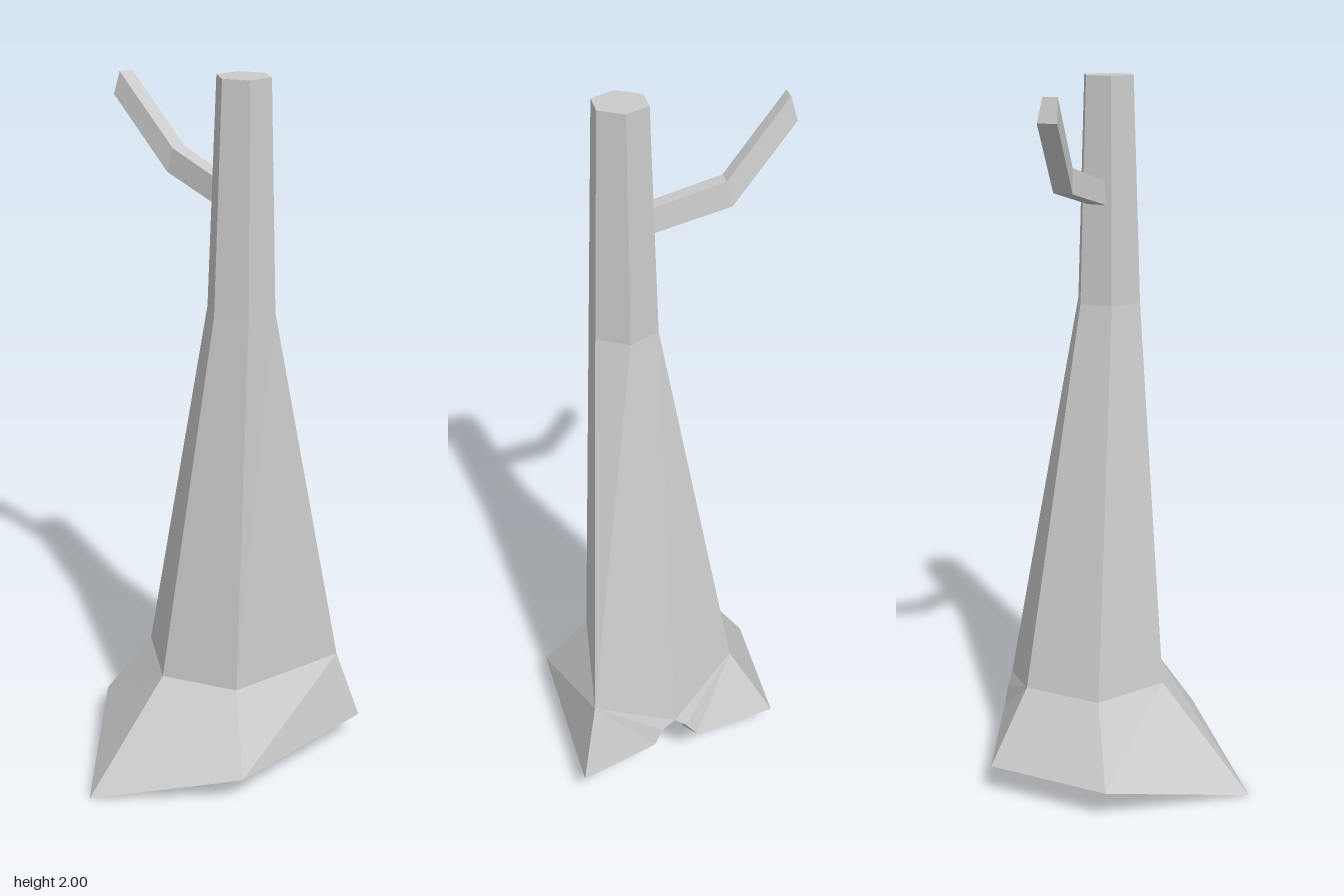
import * as THREE from 'three';

const material = new THREE.MeshStandardMaterial({ color: 0xcccccc, flatShading: true, side: THREE.DoubleSide });

// Mesh from polygons, each a list of [x, y, z] corners, counter-clockwise from outside
function polyMesh(name, polygons) {
  const positions = [];
  for (const p of polygons) {
    for (let i = 1; i < p.length - 1; i++) positions.push(...p[0], ...p[i], ...p[i + 1]);
  }
  const geometry = new THREE.BufferGeometry();
  geometry.setAttribute('position', new THREE.Float32BufferAttribute(positions, 3));
  geometry.computeVertexNormals();
  const mesh = new THREE.Mesh(geometry, material);
  mesh.name = name;
  return mesh;
}

// Side faces between consecutive closed rings
function loft(rings) {
  const faces = [];
  for (let r = 0; r < rings.length - 1; r++) {
    const a = rings[r], b = rings[r + 1], n = a.length;
    for (let i = 0; i < n; i++) {
      const j = (i + 1) % n;
      faces.push([a[i], a[j], b[j], b[i]]);
    }
  }
  return faces;
}

// Regular six-sided ring, first corner to the front
function hexRing(x, y, z, r) {
  return Array.from({ length: 6 }, (_, i) => {
    const a = (i * Math.PI) / 3;
    return [x + r * Math.sin(a), y, z + r * Math.cos(a)];
  });
}

export function createModel() {
  const group = new THREE.Group();
  group.name = 'deadTree';

  // Trunk: corners run front, front left, back left, back, back right, front right
  const flare = [
    [0.02, 0.3, 0.13], [0.215, 0.3, 0.018], [0.255, 0.3, -0.345],
    [0.028, 0.23, -0.372], [-0.175, 0.3, -0.21], [-0.175, 0.3, 0.018],
  ];
  const neck = hexRing(0.105, 1.39, -0.08, 0.095);
  const top = hexRing(0.105, 2, -0.079, 0.073);
  group.add(polyMesh('trunk', [...loft([flare, neck, top]), top]));

  // Roots: open skirt with a small arched hollow at the back
  const tips = [
    [0.02, 0, 0.403], [0.335, 0.095, 0.097], [0.3, 0.085, -0.405],
    null, [-0.295, 0.095, -0.265], [-0.295, 0.095, 0.097],
  ];
  const arch = [
    [0.09, 0.16, -0.388], [0.065, 0.208, -0.38], flare[3],
    [-0.005, 0.2, -0.368], [-0.04, 0.15, -0.362],
  ];
  const skirt = [];
  for (const i of [0, 1, 4, 5]) {
    const j = (i + 1) % 6;
    skirt.push([tips[i], tips[j], flare[j], flare[i]]);
  }
  skirt.push([flare[2], tips[2], arch[0], arch[1], arch[2]]);
  skirt.push([flare[4], arch[2], arch[3], arch[4], tips[4]]);
  group.add(polyMesh('roots', skirt));

  // Hollow: the arch narrows as it runs inward
  const inner = arch.map(([x, y, z]) => [0.012 + x * 0.55, y - 0.012, z + 0.05]);
  const hollow = [];
  for (let i = 0; i < 4; i++) hollow.push([arch[i], inner[i], inner[i + 1], arch[i + 1]]);
  group.add(polyMesh('hollow', hollow));

  // Branch: bent bar, narrower on top; [bottom x, y, top x, y, middle z]
  const sections = [
    [0.05, 1.658, 0.05, 1.723, -0.08],
    [-0.168, 1.715, -0.153, 1.78, -0.08],
    [-0.338, 1.905, -0.32, 1.967, -0.034],
  ].map(([bx, by, tx, ty, z]) => [
    [bx, by, z - 0.028], [bx, by, z + 0.028], [tx, ty, z + 0.021], [tx, ty, z - 0.021],
  ].reverse());
  const tip = sections[2];
  group.add(polyMesh('branch', [...loft(sections), tip]));

  return group;
}
